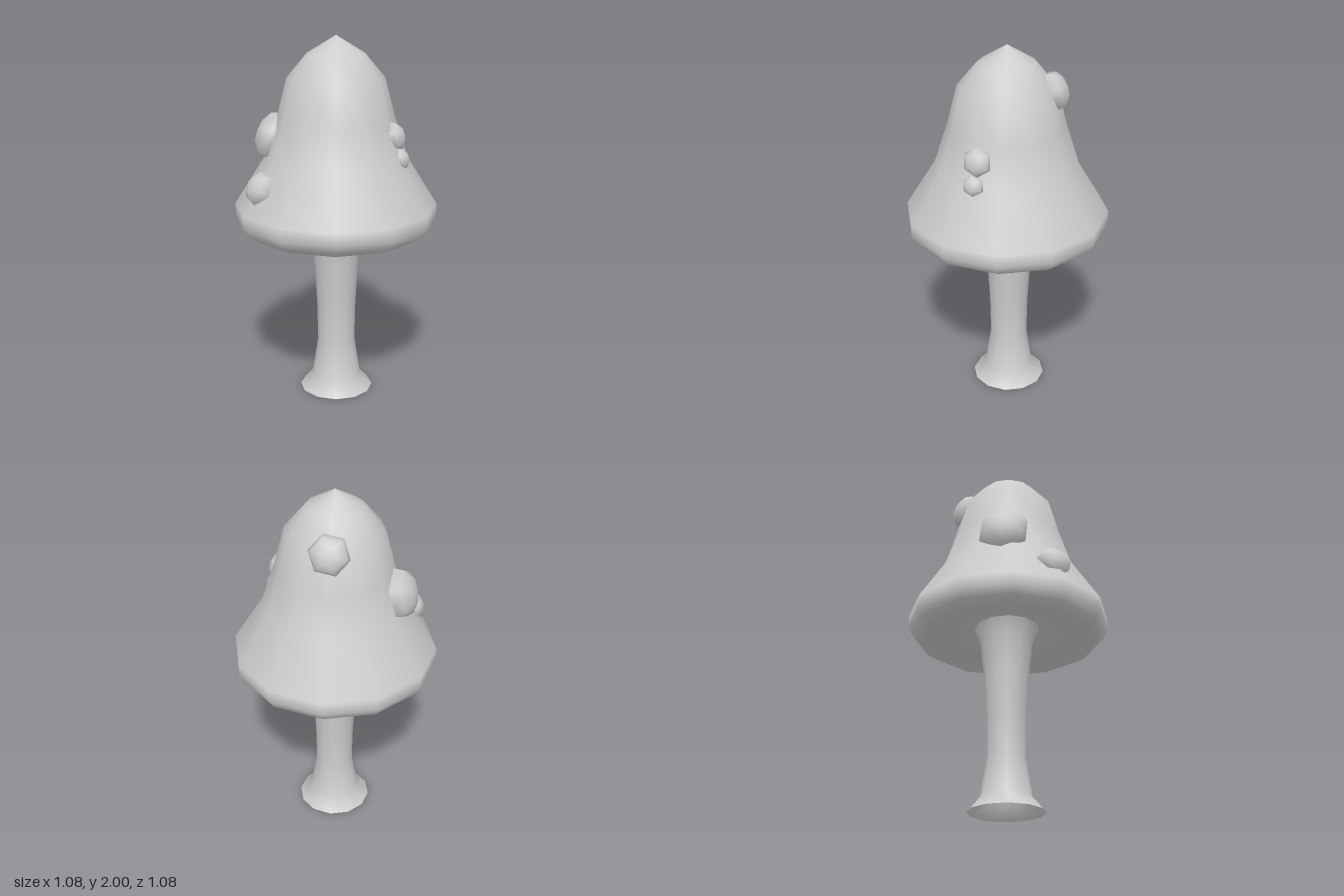
import * as THREE from 'three';

export function createModel() {
  const group = new THREE.Group();
  group.name = 'mushroom';
  const grey = new THREE.MeshStandardMaterial({ color: 0xcccccc, side: THREE.DoubleSide });
  grey.name = 'pale grey';

  // Revolve a profile (bottom to top) into a smooth many-sided part
  const lathe = (name, profile, sides, turn) => {
    const points = profile.map(([r, y]) => new THREE.Vector2(r, y));
    const mesh = new THREE.Mesh(new THREE.LatheGeometry(points, sides, turn), grey);
    mesh.name = name;
    group.add(mesh);
    return mesh;
  };

  // Stem: flared foot, open underneath, widening where it meets the gills
  lathe('stem', [
    [0.205, 0], [0.135, 0.08], [0.104, 0.29], [0.108, 0.5],
    [0.122, 0.74], [0.143, 0.94], [0.18, 1.03],
  ], 12, 0.2).position.z = -0.01;

  // Cap: hollow underside, rolled rim, then the bell up to the point
  lathe('cap', [
    [0.16, 1.03], [0.3, 0.985], [0.47, 0.94], [0.525, 0.975], [0.551, 1.02],
    [0.551, 1.09], [0.388, 1.35], [0.316, 1.57], [0.26, 1.78], [0.152, 1.908], [0, 2],
  ], 12, 0.2);

  // Warts: flattened six-sided domes facing along the cap surface normal
  const dome = new THREE.SphereGeometry(1, 6, 6);
  const up = new THREE.Vector3(0, 1, 0);
  const warts = [
    ['largeWart', [-0.335, 1.45, 0.03], [-1, 0.3, 0.05], 0.145, 0.1],
    ['rimWart', [-0.335, 1.225, 0.295], [-0.72, 0.55, 0.6], 0.098, 0.075],
    ['leftUpperWart', [0.325, 1.485, 0.055], [1, 0.3, 0.12], 0.08, 0.055],
    ['leftLowerWart', [0.36, 1.37, 0.065], [1, 0.35, 0.15], 0.06, 0.045],
    ['backWart', [-0.05, 1.765, -0.24], [-0.15, 0.42, -0.9], 0.108, 0.07],
  ];
  for (const [name, at, normal, radius, height] of warts) {
    const wart = new THREE.Mesh(dome, grey);
    wart.name = name;
    wart.position.set(...at);
    wart.scale.set(radius, height, radius);
    wart.quaternion.setFromUnitVectors(up, new THREE.Vector3(...normal).normalize());
    group.add(wart);
  }
  return group;
}
